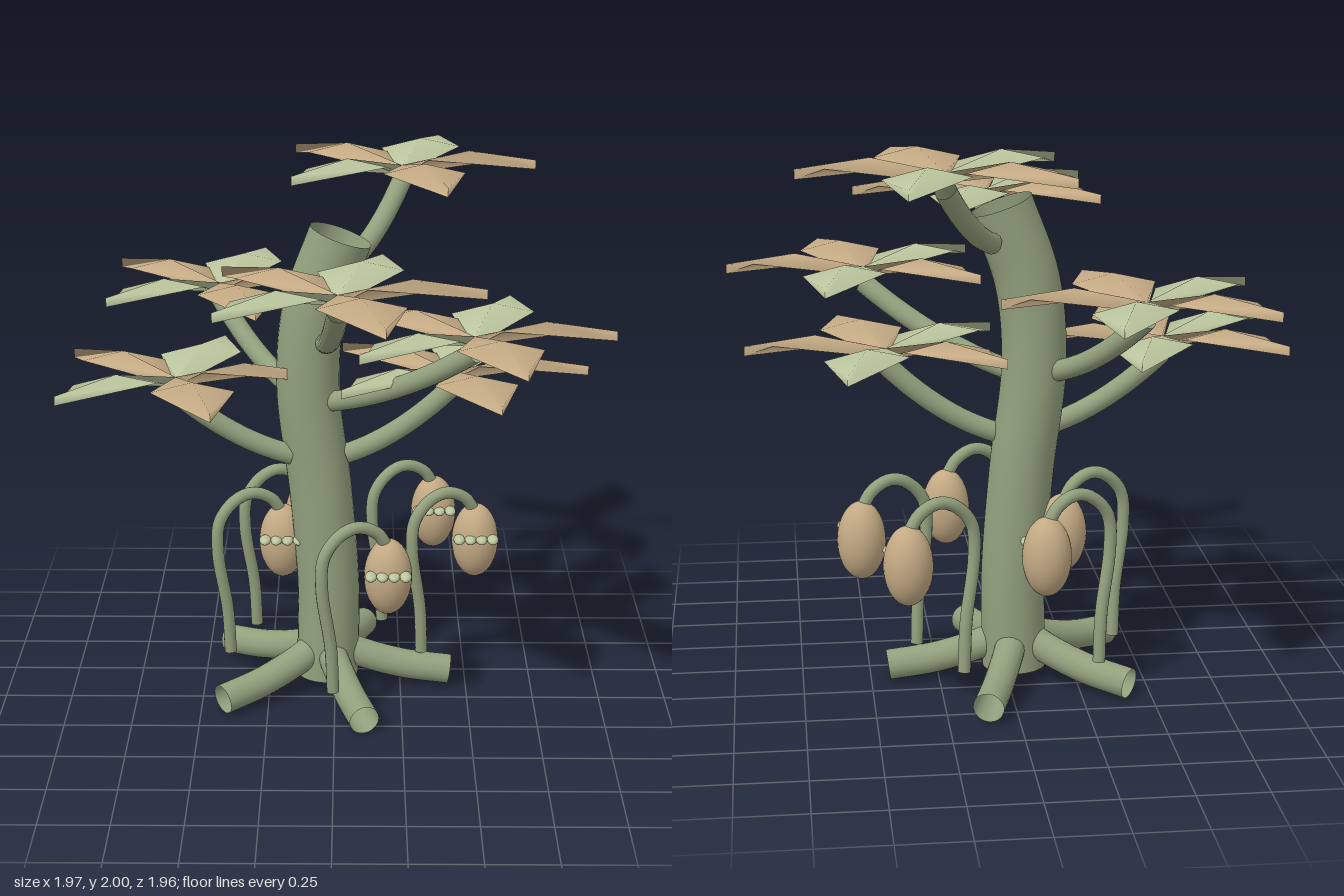
import * as THREE from 'three';

const V = (p) => new THREE.Vector3(...p);

function material(name, color, side = THREE.DoubleSide) {
  const m = new THREE.MeshStandardMaterial({ color, side });
  m.name = name;
  return m;
}

const barkGreen = material('barkGreen', 0x92a07d);
const paleGreen = material('paleGreen', 0xbcc79f);
const tan = material('tan', 0xc4aa84);

function add(parent, name, geometry, mat) {
  const mesh = new THREE.Mesh(geometry, mat);
  mesh.name = name;
  parent.add(mesh);
  return mesh;
}

// Open tube through a few points
function tube(points, radius, segments = 24, sides = 20) {
  return new THREE.TubeGeometry(new THREE.CatmullRomCurve3(points.map(V)), segments, radius, sides);
}

// Diamond leaf: width always runs along x, folded along its raised ridge
function leafGeometry(angle) {
  const rows = [[0, 0.035, 0], [0.5, 0.09, 0.15], [1, 0.055, 0]];
  const pos = [];
  for (const [t, ridge, half] of rows) {
    for (const u of [-1, 0, 1]) {
      pos.push(
        Math.cos(angle) * 0.5 * t + u * half,
        ridge - 0.035 * Math.abs(u),
        Math.sin(angle) * 0.5 * t - u * half * 0.08
      );
    }
  }
  const index = [];
  // keep the upper side in front for leaves pointing either way
  const flip = Math.sin(angle) < -0.01;
  for (let r = 0; r < 2; r++) {
    for (let c = 0; c < 2; c++) {
      const a = r * 3 + c, b = a + 1, d = a + 3, e = a + 4;
      if (flip) index.push(a, b, d, b, e, d);
      else index.push(a, d, b, b, d, e);
    }
  }
  const g = new THREE.BufferGeometry();
  g.setAttribute('position', new THREE.Float32BufferAttribute(pos, 3));
  g.setIndex(index);
  g.computeVertexNormals();
  return g;
}

export function createModel() {
  const model = new THREE.Group();
  model.name = 'plant';
  const fifth = (Math.PI * 2) / 5;

  // Trunk
  add(model, 'trunk', tube([
    [-0.03, 0.05, -0.14], [-0.025, 0.4, -0.14], [-0.055, 0.8, -0.14],
    [-0.1, 1.2, -0.14], [-0.075, 1.5, -0.135], [0.02, 1.77, -0.135],
  ], 0.117, 48, 28), barkGreen);

  // Roots spread evenly around the trunk
  for (let i = 0; i < 5; i++) {
    const root = add(model, 'root', tube([
      [0.03, 0.18, 0], [0.12, 0.135, 0], [0.29, 0.085, 0], [0.472, 0.06, 0],
    ], 0.056), barkGreen);
    root.position.set(-0.035, 0, -0.135);
    root.rotation.y = -i * fifth;
  }

  // Branches, each carrying a whorl of five leaves
  const leafShapes = [0, 1, 2, 3, 4].map((i) => leafGeometry(i * fifth));
  const leafColours = [tan, tan, paleGreen, tan, paleGreen];
  const branches = [
    { start: [-0.16, 0.95, -0.09], end: [-0.58, 1.225, -0.05] },
    { start: [0.04, 0.94, -0.13], end: [0.43, 1.225, -0.135] },
    { start: [-0.17, 1.18, -0.21], end: [-0.44, 1.455, -0.515] },
    { start: [-0.01, 1.16, -0.08], end: [0.49, 1.455, 0.2] },
    { start: [-0.035, 1.39, -0.05], end: [0.015, 1.685, 0.495] },
    { start: [0.06, 1.65, -0.24], end: [0.245, 1.91, -0.515] },
  ];
  for (const { start, end } of branches) {
    const tip = V(end).add(new THREE.Vector3(0, -0.025, 0));
    const sag = V(start).lerp(tip, 0.5).add(new THREE.Vector3(0, -0.065, 0));
    const curve = new THREE.QuadraticBezierCurve3(V(start), sag, tip);
    add(model, 'branch', new THREE.TubeGeometry(curve, 16, 0.038, 16), barkGreen);
    const whorl = new THREE.Group();
    whorl.name = 'leafWhorl';
    whorl.position.copy(V(end));
    leafShapes.forEach((shape, i) => add(whorl, 'leaf', shape, leafColours[i]));
    model.add(whorl);
  }

  // Hooked stalks with hanging pods
  const stalkShape = tube([
    [0, 0.14, 0], [-0.008, 0.32, 0.012], [-0.04, 0.56, 0.035], [-0.032, 0.68, 0.03],
    [0.025, 0.755, 0.005], [0.09, 0.778, -0.02], [0.16, 0.745, -0.05], [0.2, 0.68, -0.07],
  ], 0.023, 40, 14);
  const ball = new THREE.SphereGeometry(1, 28, 20);
  const bead = new THREE.SphereGeometry(1, 12, 8);
  for (const [x, z] of [[0.33, -0.13], [-0.005, 0.235], [-0.4, -0.12], [-0.31, -0.385], [0.182, -0.432]]) {
    const stalk = new THREE.Group();
    stalk.name = 'podStalk';
    stalk.position.set(x, 0, z);
    add(stalk, 'stalk', stalkShape, barkGreen);
    const pod = add(stalk, 'pod', ball, tan);
    pod.position.set(0.2, 0.57, -0.07);
    pod.scale.set(0.088, 0.145, 0.086);
    // Row of small teeth across the front of the pod
    for (let i = 0; i < 4; i++) {
      const tooth = add(stalk, 'podTooth', bead, paleGreen);
      tooth.position.set(0.2 + (i - 1.5) * 0.042, 0.6, 0.01);
      tooth.scale.set(0.022, 0.015, 0.042);
    }
    model.add(stalk);
  }
  return model;
}
